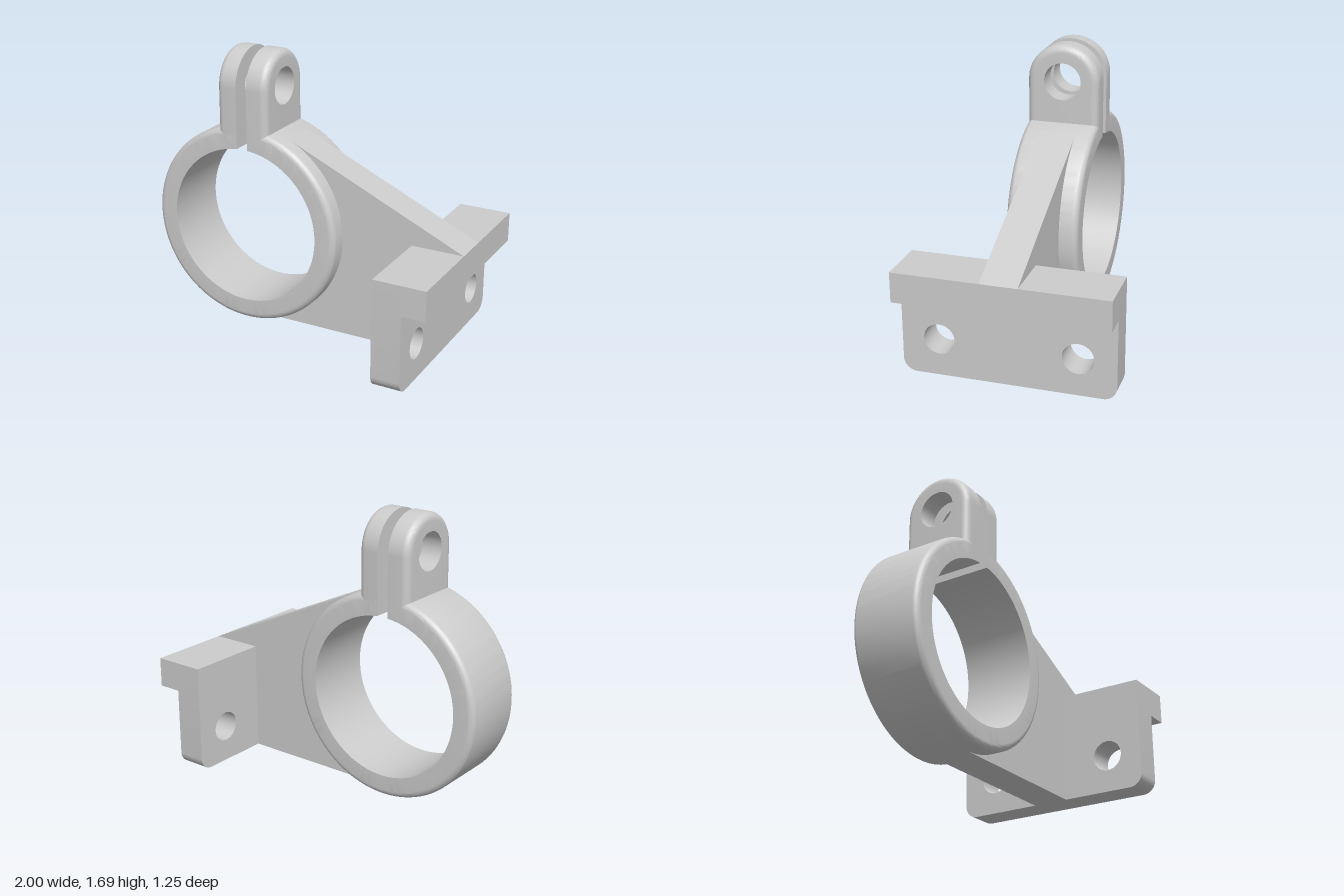
import * as THREE from 'three';
import { toCreasedNormals } from 'three/addons/utils/BufferGeometryUtils.js';

const CX = -0.382, CY = 0.618;      // ring centre
const R = 0.618, BORE = 0.488;      // ring radii
const HALF = 0.22;                  // half width of ring and lugs
const GAP = 0.035;                  // half width of the clamp slot

const material = new THREE.MeshStandardMaterial({ color: 0xcccccc });

function part(name, geometry, parent) {
  const mesh = new THREE.Mesh(toCreasedNormals(geometry, 0.5), material);
  mesh.name = name;
  parent.add(mesh);
  return mesh;
}

function hole(shape, x, y, r) {
  shape.holes.push(new THREE.Path().absarc(x, y, r, 0, Math.PI * 2, true));
}

// Split ring: lathed section with rounded outer edges and sharp bore edges
function ringGeometry() {
  const f = 0.04, n = 8, pts = [new THREE.Vector2(BORE, -HALF)];
  for (const side of [-1, 1]) {
    for (let i = 0; i <= n; i++) {
      const a = (side < 0 ? i - n : i) / n * Math.PI / 2;
      pts.push(new THREE.Vector2(R - f + f * Math.cos(a), side * (HALF - f) + f * Math.sin(a)));
    }
  }
  pts.push(new THREE.Vector2(BORE, HALF), new THREE.Vector2(BORE, -HALF));
  const g = Math.asin(GAP / BORE);
  return new THREE.LatheGeometry(pts, 128, Math.PI + g, Math.PI * 2 - 2 * g)
    .rotateX(Math.PI / 2);
}

// Clamp lug: round-topped tab whose outer face has a filleted rim
function lugGeometry() {
  const top = 1.468, bottom = 1.106, thick = 0.133, f = 0.045, steps = 8;
  const s = new THREE.Shape();
  s.moveTo(-HALF, bottom);
  s.lineTo(HALF, bottom);
  s.lineTo(HALF, top);
  s.absarc(0, top, HALF, 0, Math.PI, false);
  s.closePath();
  hole(s, 0, top, 0.114);
  const geo = new THREE.ExtrudeGeometry(s, { depth: 1, steps, bevelEnabled: false, curveSegments: 32 });
  const p = geo.attributes.position;
  for (let i = 0; i < p.count; i++) {
    const x = p.getX(i), y = p.getY(i), layer = Math.round(p.getZ(i) * steps);
    const a = Math.max(layer - 1, 0) / (steps - 1) * Math.PI / 2;
    p.setZ(i, layer === 0 ? 0 : thick - f + f * Math.sin(a));
    if (Math.hypot(x, y - top) < 0.15) continue;   // bolt hole stays straight
    const k = (HALF - f * (1 - Math.cos(a))) / HALF;
    p.setX(i, x * k);
    if (y > top) p.setY(i, top + (y - top) * k);
  }
  return geo.rotateY(Math.PI / 2).translate(GAP, 0, 0);
}

// Web: plate running tangent to the ring and over to the mounting flange
function webGeometry() {
  const dx = 1 - CX, dy = 0.67 - CY;
  const tangent = Math.atan2(dy, dx) + Math.acos(R / Math.hypot(dx, dy));
  const s = new THREE.Shape();
  s.moveTo(CX, 0);
  s.lineTo(0.68, 0);
  s.lineTo(0.68, 0.67);
  s.lineTo(1, 0.67);
  s.lineTo(CX + R * Math.cos(tangent), CY + R * Math.sin(tangent));
  s.absarc(CX, CY, 0.55, tangent, -Math.PI / 2, true);
  s.closePath();
  return new THREE.ExtrudeGeometry(s, { depth: 0.22, bevelEnabled: false, curveSegments: 64 })
    .translate(0, 0, -0.11);
}

// Mounting flange: rounded lower corners and two bolt holes
function flangeGeometry() {
  const w = 0.627, c = 0.08, s = new THREE.Shape();
  s.moveTo(w, 0.67);
  s.lineTo(-w, 0.67);
  s.lineTo(-w, c);
  s.absarc(-w + c, c, c, Math.PI, Math.PI * 1.5, false);
  s.absarc(w - c, c, c, Math.PI * 1.5, Math.PI * 2, false);
  s.closePath();
  for (const side of [-1, 1]) hole(s, side * 0.405, 0.225, 0.092);
  return new THREE.ExtrudeGeometry(s, { depth: 0.177, bevelEnabled: false, curveSegments: 24 })
    .rotateY(Math.PI / 2).translate(0.68, 0, 0);
}

export function createModel() {
  const model = new THREE.Group();
  model.name = 'clampBracket';

  const clamp = new THREE.Group();
  clamp.name = 'clamp';
  clamp.position.x = CX;
  model.add(clamp);
  part('splitRing', ringGeometry(), clamp).position.y = CY;
  part('leftLug', lugGeometry(), clamp);
  part('rightLug', lugGeometry(), clamp).rotation.y = Math.PI;

  part('web', webGeometry(), model);

  const mount = new THREE.Group();
  mount.name = 'mount';
  model.add(mount);
  part('flange', flangeGeometry(), mount);
  // Overhanging lip along the top of the flange
  part('lip', new THREE.BoxGeometry(0.143, 0.18, 1.254), mount).position.set(0.9285, 0.58, 0);

  return model;
}
